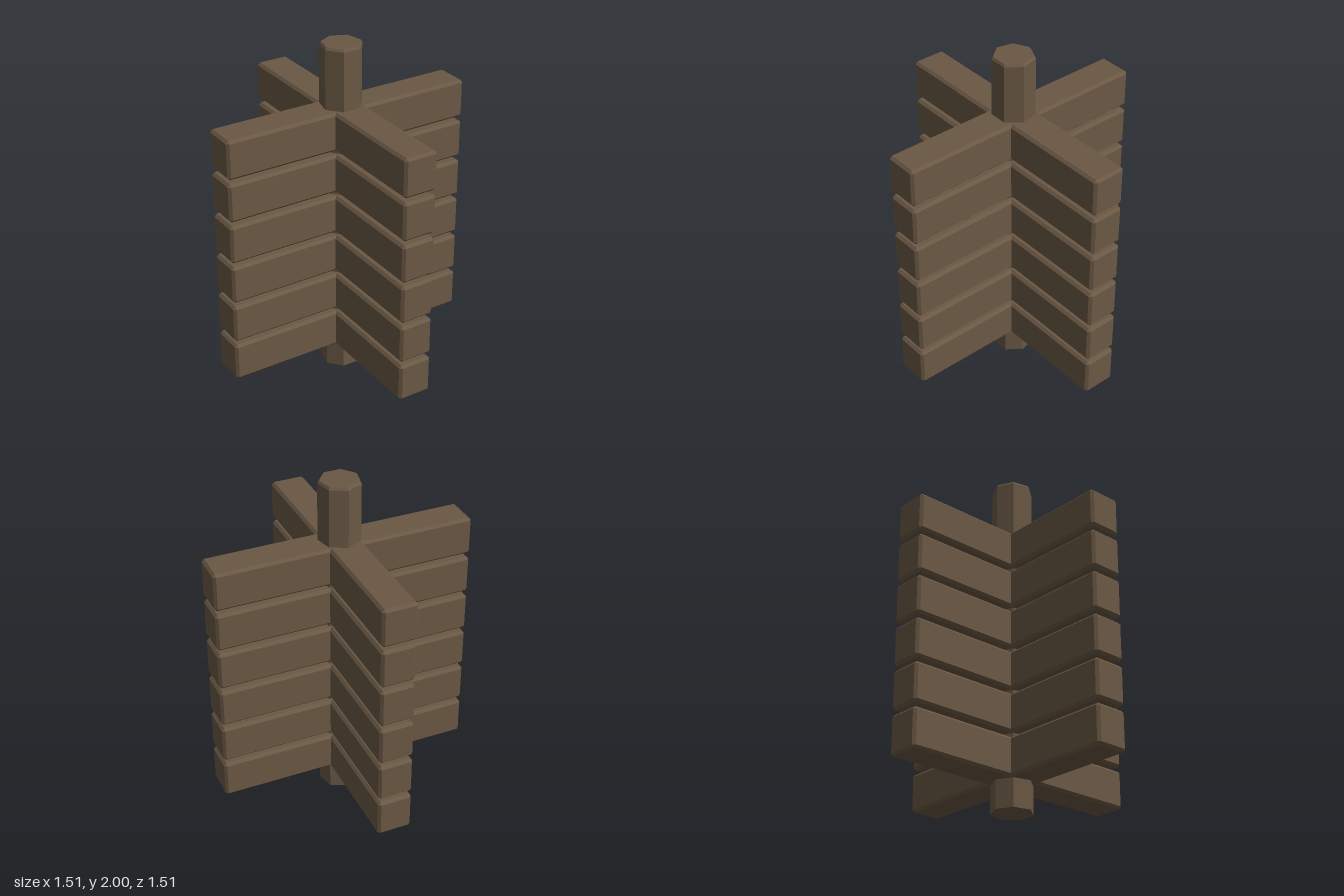
import * as THREE from 'three';
import { ConvexGeometry } from 'three/addons/geometries/ConvexGeometry.js';

// Box with every edge cut at 45 degrees
function chamferBox(w, h, d, c) {
  const points = [];
  for (const sx of [-1, 1]) for (const sy of [-1, 1]) for (const sz of [-1, 1]) {
    const x = w / 2, y = h / 2, z = d / 2;
    points.push(
      new THREE.Vector3(sx * x, sy * (y - c), sz * (z - c)),
      new THREE.Vector3(sx * (x - c), sy * y, sz * (z - c)),
      new THREE.Vector3(sx * (x - c), sy * (y - c), sz * z)
    );
  }
  return new ConvexGeometry(points);
}

export function createModel() {
  const model = new THREE.Group();
  model.name = 'crossedBeamStack';

  const wood = new THREE.MeshStandardMaterial({ color: 0x6a5844 });
  wood.name = 'brownWood';

  // Seven-sided post with a flat side to the front and a chamfered top
  const facets = (rTop, rBottom, h, open) =>
    new THREE.CylinderGeometry(rTop, rBottom, h, 7, 1, open).toNonIndexed();
  const addPostPart = (name, geometry, y) => {
    geometry.computeVertexNormals();
    const mesh = new THREE.Mesh(geometry, wood);
    mesh.name = name;
    mesh.position.y = y;
    mesh.rotation.y = Math.PI;
    model.add(mesh);
  };
  const bevel = 0.014;
  addPostPart('post', facets(0.12, 0.12, 2 - bevel, false), (2 - bevel) / 2);
  addPostPart('postTop', facets(0.11, 0.12, bevel, false), 2 - bevel / 2);

  // Six layers, each of two beams crossing at right angles
  const beam = chamferBox(1.51, 0.226, 0.2, 0.015);
  for (let i = 0; i < 6; i++) {
    const layer = new THREE.Group();
    layer.name = `beamLayer${i + 1}`;
    layer.position.y = 0.277 + i * 0.251;
    for (const [name, angle] of [['sideBeam', 0], ['frontBackBeam', Math.PI / 2]]) {
      const mesh = new THREE.Mesh(beam, wood);
      mesh.name = name;
      mesh.rotation.y = angle;
      layer.add(mesh);
    }
    model.add(layer);
  }
  return model;
}
